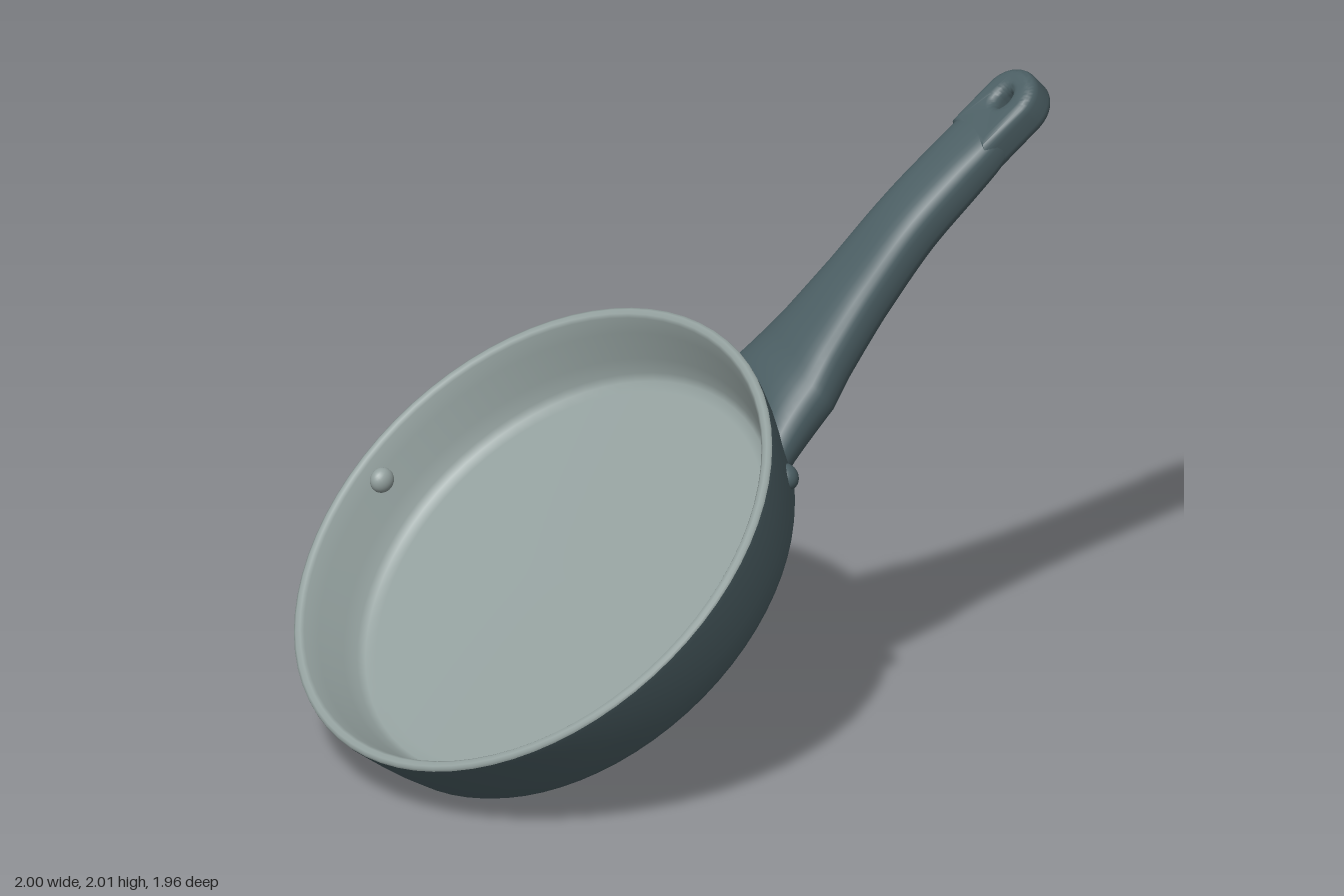
import * as THREE from 'three';
import { toCreasedNormals } from 'three/addons/utils/BufferGeometryUtils.js';

const iron = new THREE.MeshStandardMaterial({ color: 0x4b5e63 });
iron.name = 'dark iron';
const lining = new THREE.MeshStandardMaterial({ color: 0x93a09e });
lining.name = 'pale lining';

function part(name, geometry, material) {
  const mesh = new THREE.Mesh(geometry, material);
  mesh.name = name;
  return mesh;
}

// Turned surface from [radius, height] pairs
const turned = (pairs) =>
  new THREE.LatheGeometry(pairs.map(([r, y]) => new THREE.Vector2(r, y)), 72);

// Handle stations: distance along, height, sideways shift, half thickness, half width
const stations = [
  [0.78, -0.185, 0.085, 0.088, 0.265],
  [0.90, -0.165, 0.08, 0.1, 0.215],
  [1.05, -0.13, 0.072, 0.097, 0.17],
  [1.25, -0.085, 0.062, 0.09, 0.138],
  [1.50, -0.04, 0.045, 0.083, 0.118],
  [1.70, -0.037, 0.018, 0.077, 0.112],
  [1.80, -0.038, 0.003, 0.07, 0.11],
  [1.90, -0.036, -0.01, 0.056, 0.1],
];

// Smooth loft of rounded oblong sections; the first section follows the flared wall
function handleGeometry(rings = 42, sides = 32) {
  const path = new THREE.CatmullRomCurve3(stations.map((s) => new THREE.Vector3(s[0], s[1], s[2])));
  const size = new THREE.CatmullRomCurve3(stations.map((s) => new THREE.Vector3(s[3], s[4], 0)));
  const positions = [], index = [];
  for (let i = 0; i <= rings; i++) {
    const t = i / rings, c = path.getPoint(t), s = size.getPoint(t);
    const hug = Math.max(0, 1 - i / 8);
    const power = THREE.MathUtils.lerp(0.82, 0.58, t);
    const round = (v) => Math.sign(v) * Math.pow(Math.abs(v), power);
    for (let j = 0; j < sides; j++) {
      const a = (j / sides) * Math.PI * 2;
      const y = c.y + s.x * round(Math.sin(a));
      const z = c.z + s.y * round(Math.cos(a));
      const wall = Math.sqrt(Math.max(0, (0.829 + 0.27 * y) ** 2 - z * z));
      positions.push(THREE.MathUtils.lerp(c.x, wall, hug), y, z);
      if (i < rings) {
        const p = i * sides + j, q = i * sides + ((j + 1) % sides);
        index.push(p, p + sides, q, q, p + sides, q + sides);
      }
    }
  }
  const g = new THREE.BufferGeometry();
  g.setAttribute('position', new THREE.Float32BufferAttribute(positions, 3));
  g.setIndex(index);
  g.computeVertexNormals();
  return g;
}

// Rounded end with the hanging hole
function tipGeometry() {
  const w = 0.106, bevel = 0.03, bevelDepth = 0.036, thick = 0.124;
  const shape = new THREE.Shape();
  shape.moveTo(-0.17, -w);
  shape.lineTo(0, -w);
  shape.absarc(0, 0, w, -Math.PI / 2, Math.PI / 2, false);
  shape.lineTo(-0.17, w);
  shape.closePath();
  const hole = new THREE.Path();
  hole.absellipse(-0.008, 0, 0.032, 0.022, 0, Math.PI * 2, true);
  shape.holes.push(hole);
  const g = new THREE.ExtrudeGeometry(shape, {
    depth: thick - 2 * bevelDepth, bevelThickness: bevelDepth, bevelSize: bevel,
    bevelOffset: -bevel, bevelSegments: 6, curveSegments: 24,
  });
  g.translate(0, 0, bevelDepth - thick / 2);
  g.rotateX(Math.PI / 2);
  return toCreasedNormals(g, 0.8);
}

export function createModel() {
  const model = new THREE.Group();
  model.name = 'fryingPan';

  // Pan axes: x along the handle, y out of the opening, origin at the rim centre
  const pan = new THREE.Group();
  pan.name = 'tiltedPan';
  const up = new THREE.Vector3(-0.307, 0.776, 0.551).normalize();
  const along = new THREE.Vector3(0.552, 0.612, -0.57);
  along.addScaledVector(up, -along.dot(up)).normalize();
  const side = new THREE.Vector3().crossVectors(along, up);
  pan.quaternion.setFromRotationMatrix(new THREE.Matrix4().makeBasis(along, up, side));
  pan.position.set(-0.187, 0.703, 0.27);
  model.add(pan);

  // Outer wall and base
  pan.add(part('outerBowl', turned([
    [0, -0.299], [0.70, -0.298], [0.742, -0.295], [0.766, -0.285], [0.78, -0.264],
    [0.806, -0.19], [0.831, -0.1], [0.848, -0.03], [0.851, -0.012],
  ]), iron));

  // Rim, inner wall and cooking floor
  pan.add(part('innerBowl', turned([
    [0.851, -0.012], [0.849, -0.003], [0.84, 0.002], [0.825, 0.001], [0.815, -0.008],
    [0.795, -0.06], [0.762, -0.15], [0.743, -0.2], [0.725, -0.22], [0.69, -0.228], [0, -0.23],
  ]), lining));

  // Handle
  pan.add(part('handle', handleGeometry(), iron));
  const tip = part('handleTip', tipGeometry(), iron);
  tip.position.set(1.978, -0.031, -0.014);
  tip.rotation.set(0, 0.06, 0.03);
  pan.add(tip);

  // Small knobs: one on the inner wall, one outside beside the handle
  const knob = (name, x, y, z, r, material) => {
    const m = part(name, new THREE.SphereGeometry(r, 20, 14), material);
    m.position.set(x, y, z);
    m.rotation.y = -Math.atan2(z, x);
    m.scale.x = 0.8;
    pan.add(m);
  };
  knob('innerRivet', -0.225, -0.06, -0.745, 0.04, lining);
  knob('outerRivet', 0.705, -0.19, 0.372, 0.042, iron);

  return model;
}
